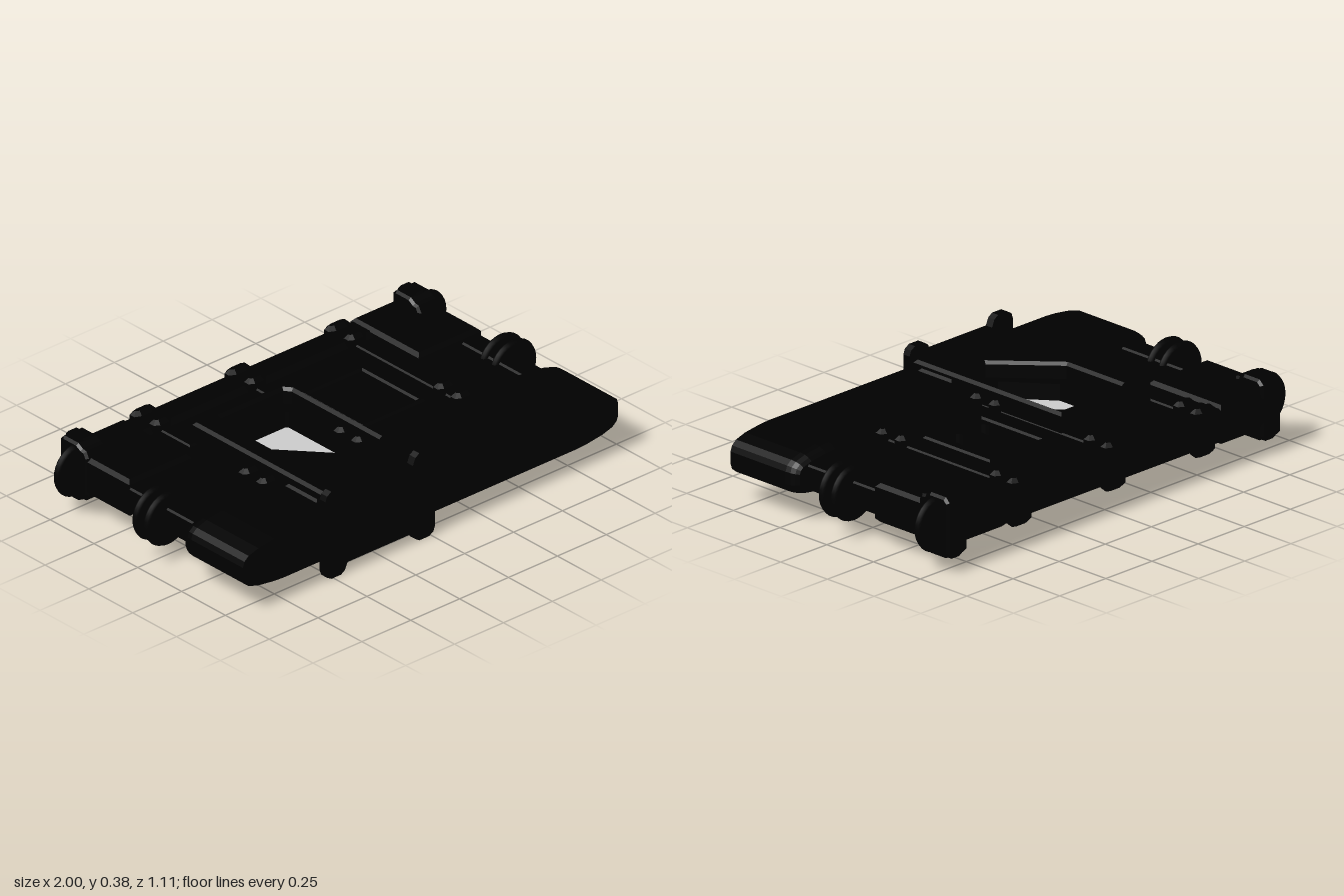
import * as THREE from 'three';

const MID = 0.19; // mid height; the panel is the same above and below it

export function createModel() {
  const root = new THREE.Group();
  root.name = 'doorPanel';
  const black = new THREE.MeshStandardMaterial({ color: 0x000000 });
  black.name = 'black';
  const glass = new THREE.MeshStandardMaterial({ color: 0xcacaca });
  glass.name = 'windowGrey';

  const add = (name, geo, mat = black) => {
    const m = new THREE.Mesh(geo, mat);
    m.name = name;
    root.add(m);
    return m;
  };
  // Extrusion from z = 0 to depth; b is the bevel inset, t its length along z
  const extrude = (shape, depth, b, t = b, segments = 1) => new THREE.ExtrudeGeometry(shape, {
    depth: depth - 2 * t, bevelEnabled: b > 0, bevelSize: b, bevelThickness: t,
    bevelOffset: -b, bevelSegments: segments, curveSegments: 10,
  }).translate(0, 0, t);
  const vecs = (pts, s = 1) => pts.map(([x, z]) => new THREE.Vector2(x, s * z));
  const counterClockwise = (v) => (THREE.ShapeUtils.isClockWise(v) ? v.reverse() : v);

  // Horizontal plate from an x,z outline, centred on mid
  const plate = (name, pts, half, holes = [], b = 0, mid = MID, mat = black) => {
    const shape = new THREE.Shape(counterClockwise(vecs(pts, -1)));
    holes.forEach((h) => shape.holes.push(new THREE.Path(vecs(h, -1))));
    const geo = extrude(shape, half * 2, b).rotateX(-Math.PI / 2).translate(0, mid - half, 0);
    return add(name, geo, mat);
  };
  // Slice with an x,y outline running from z0 to z1
  const slice = (name, pts, z0, z1, b = 0, t = b, segments = 1) => add(name,
    extrude(new THREE.Shape(counterClockwise(vecs(pts))), z1 - z0, b, t, segments).translate(0, 0, z0));
  // Bar with a z,y outline running from x0 to x1
  const bar = (name, pts, x0, x1, b = 0) => add(name,
    extrude(new THREE.Shape(counterClockwise(vecs(pts.map(([z, y]) => [-z, y])))), x1 - x0, b)
      .rotateY(Math.PI / 2).translate(x0, 0, 0));
  const rect = (x0, x1, z0, z1) => [[x0, z0], [x1, z0], [x1, z1], [x0, z1]];
  const mirrorY = (pts) => [...pts, ...pts.map(([a, y]) => [a, 2 * MID - y]).reverse()];

  // Openings
  const windowHole = [[-0.33, -0.17], [-0.32, -0.18], [-0.085, -0.18], [-0.075, -0.17],
    [-0.075, 0.26], [-0.085, 0.27], [-0.16, 0.27], [-0.185, 0.255], [-0.33, 0.065]];
  const wellHole = [[-0.385, -0.21], [-0.365, -0.235], [-0.045, -0.235], [-0.025, -0.21],
    [-0.025, 0.29], [-0.045, 0.315], [-0.18, 0.315], [-0.385, 0.085]];
  const slot = (x0, x1) => {
    const r = (x1 - x0) / 2, pts = [[x1, -0.22], [x0, -0.22]];
    for (let i = 0; i <= 8; i++) {
      const a = Math.PI - (i / 8) * Math.PI;
      pts.push([x0 + r + r * Math.cos(a), -0.005 + r * Math.sin(a)]);
    }
    return pts;
  };
  const slots = [slot(0.13, 0.2), slot(0.27, 0.34)];

  // Thin main panel with window and vent slots
  plate('mainPanel', rect(-0.9, 0.9, -0.54, 0.32), 0.045, [windowHole, ...slots]);
  plate('windowPane', windowHole, 0.004, [], 0, MID, glass);

  // Raised vent surround and slot lips
  plate('ventSurround', rect(0.075, 0.395, -0.275, 0.085), 0.06, [rect(0.1, 0.37, -0.25, 0.06)], 0.008);
  plate('ventLip', rect(0.115, 0.355, -0.235, 0.045), 0.054, slots);

  // Thick housing round the window, reaching the front edge
  plate('windowHousing', [[-0.48, -0.27], [0, -0.27], [0, 0.525], [-0.48, 0.525]], 0.138, [wellHole], 0.012);
  plate('windowSill', rect(-0.46, -0.02, -0.25, 0.34), 0.072, [windowHole]);
  for (const s of [1, -1]) {
    // Slim pads standing on the housing
    plate('housingFrontPad', rect(-0.46, -0.2, 0.35, 0.52), 0.004, [], 0, MID + s * 0.14);
    plate('housingFrontPad', rect(-0.16, -0.02, 0.35, 0.52), 0.004, [], 0, MID + s * 0.14);
  }
  // Side ribs along the housing
  for (const x of [-0.495, 0.0]) {
    plate('housingRib', rect(x - 0.02, x + 0.02, 0.3, 0.48), 0.12, [], 0.01);
  }

  // Front flange with two rounded knuckles
  const knuckle = [[0, 0.345], [0.008, 0.367], [0.03, 0.38], [0.08, 0.38], [0.1, 0.367], [0.113, 0.337]];
  slice('frontFlange', mirrorY([
    [-0.54, 0.21], ...knuckle.map(([x, y]) => [x - 0.54, y]),
    ...knuckle.map(([x, y]) => [0.02 - x, y]).reverse(), [0.02, 0.21],
  ]), 0.525, 0.558);

  // Front beam with blunt rounded ends; its back shoulders roll down to the panel
  const end = [[0.75, 0.285], [0.8, 0.282], [0.88, 0.271], [0.93, 0.256], [0.952, 0.238], [0.96, 0.215]];
  const flip = (pts) => pts.map(([x, y]) => [-x, y]).reverse();
  slice('frontBeam', mirrorY([...flip(end), ...end]), 0.32, 0.555);
  const shoulder = (inner) => mirrorY([[inner, 0.285], ...end]);
  slice('leftShoulder', shoulder(-0.04), 0.2, 0.42, 0.035, 0.06, 4);
  slice('rightShoulder', flip(shoulder(0.44)), 0.2, 0.42, 0.035, 0.06, 4);

  // Back rail, lower between the corner panels
  bar('backRail', mirrorY([[-0.42, 0.24], [-0.44, 0.258], [-0.54, 0.258], [-0.555, 0.24]]), -0.88, 0.88);

  // Disc with a rounded rim
  const disc = new THREE.LatheGeometry(vecs([[0, -0.013], [0.1, -0.013], [0.111, -0.009],
    [0.115, 0], [0.111, 0.009], [0.1, 0.013], [0, 0.013]]), 32).rotateX(Math.PI / 2);
  for (const s of [1, -1]) {
    // Raised corner panels
    const cx = s * 0.74;
    plate('cornerPanel', rect(cx - 0.16, cx + 0.16, -0.55, -0.16), 0.08, [], 0.015);
    plate('edgeStrip', rect(s * 0.85 - 0.05, s * 0.85 + 0.05, -0.17, 0.22), 0.052, [], 0.008);

    // Clamp at the back corner, with a strap round it
    const clamp = mirrorY([[-0.395, 0.27], [-0.41, 0.297], [-0.43, 0.3],
      [-0.455, 0.315], [-0.535, 0.315], [-0.555, 0.295]]);
    bar('cornerClamp', clamp, s * 0.85 - 0.055, s * 0.85 + 0.055, 0.01);
    bar('clampStrap', mirrorY([[-0.45, 0.31], [-0.46, 0.323], [-0.54, 0.323], [-0.556, 0.305]]),
      s * 0.85 - 0.02, s * 0.85 + 0.02);

    // Hinge discs
    for (const z of [-0.475, -0.026, 0.038]) {
      add('hingeDisc', disc).position.set(s * 0.885, MID, z);
    }
  }

  // Seam strips and their clips, on both faces
  const octagon = (x, z, rx, rz) => [[-1, -0.5], [-0.5, -1], [0.5, -1], [1, -0.5],
    [1, 0.5], [0.5, 1], [-0.5, 1], [-1, 0.5]].map(([a, b]) => [x + a * rx, z + b * rz]);
  const seams = [
    { x: -0.5, to: -0.24 },
    { x: -0.015, to: 0.2 },
    { x: 0.495, to: 0.2 },
  ];
  for (const { x, to } of seams) {
    plate('seamStrip', rect(x - 0.018, x + 0.018, -0.43, to), 0.06, [], 0.006);
    for (const z of [-0.53, -0.43, 0.08, 0.18]) {
      plate('seamClip', octagon(x, z, z < -0.5 ? 0.055 : 0.045, 0.026), 0.1, [], 0.016);
    }
  }
  return root;
}
